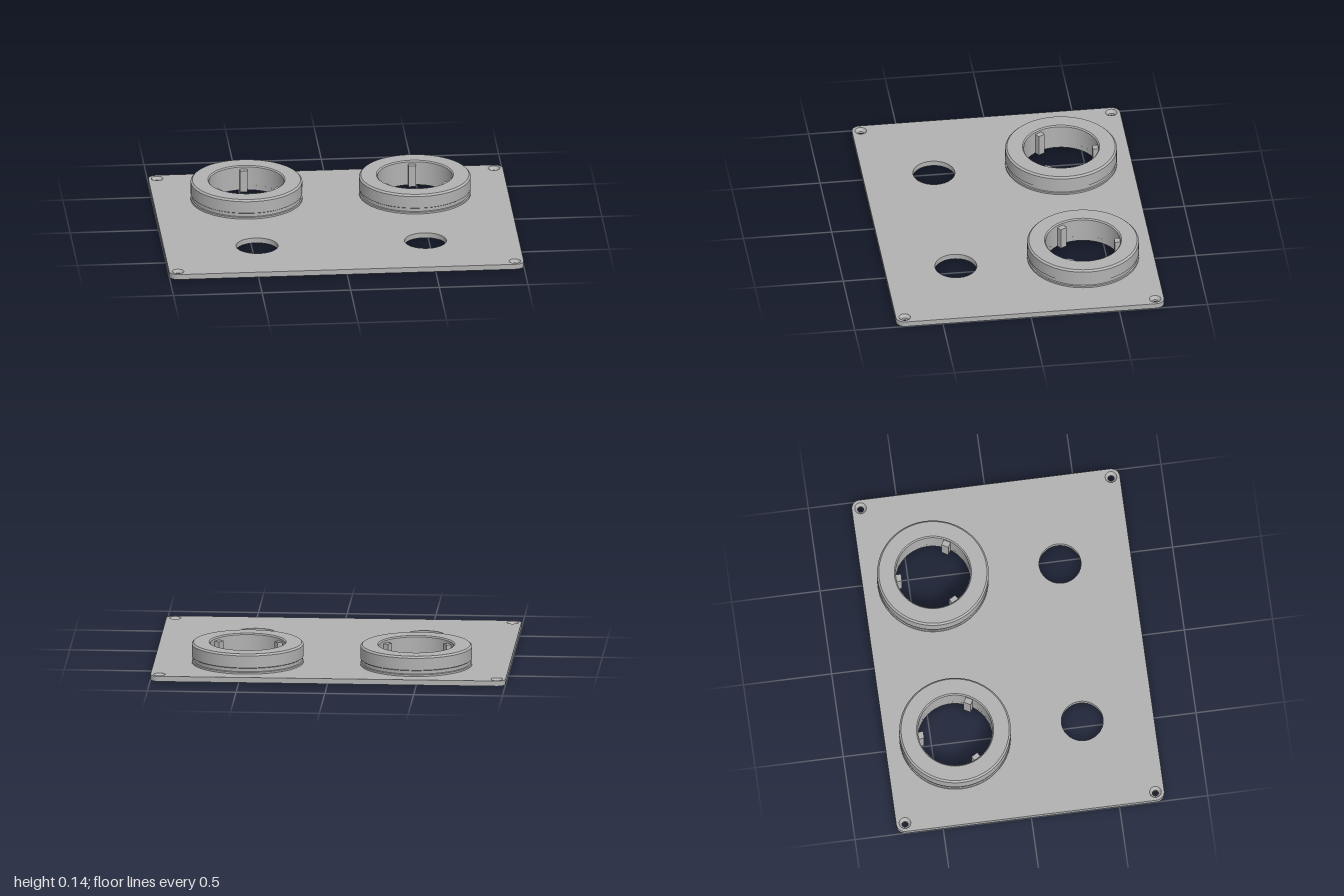
import * as THREE from 'three';
import { toCreasedNormals } from 'three/addons/utils/BufferGeometryUtils.js';

const T = 0.03;               // plate thickness
const W = 1, D = 0.76, R = 0.05; // plate half sizes and corner radius
const SOCKET_X = 0.475, SOCKET_Z = -0.363, BORE = 0.21;
const SCREW_X = 0.95, SCREW_Z = 0.71, SINK = 0.033;

const circle = (x, z, r) => new THREE.Path().absarc(x, -z, r, 0, Math.PI * 2, true);

const lathe = (points, segments) => toCreasedNormals(
  new THREE.LatheGeometry(points.map(([r, y]) => new THREE.Vector2(r, y)), segments), 0.5);

export function createModel() {
  const model = new THREE.Group();
  const grey = new THREE.MeshStandardMaterial({ color: 0xb2b2b2 });
  grey.name = 'grey';

  const add = (parent, name, geometry, x = 0, y = 0, z = 0) => {
    const mesh = new THREE.Mesh(geometry, grey);
    mesh.name = name;
    mesh.position.set(x, y, z);
    parent.add(mesh);
    return mesh;
  };

  // Rounded base plate with socket, round and screw holes
  const outline = new THREE.Shape();
  outline.absarc(W - R, D - R, R, 0, Math.PI / 2);
  outline.absarc(-W + R, D - R, R, Math.PI / 2, Math.PI);
  outline.absarc(-W + R, -D + R, R, Math.PI, Math.PI * 1.5);
  outline.absarc(W - R, -D + R, R, Math.PI * 1.5, Math.PI * 2);
  for (const s of [-1, 1]) {
    outline.holes.push(circle(s * SOCKET_X, SOCKET_Z, BORE));
    outline.holes.push(circle(s * SOCKET_X, 0.358, 0.118));
    for (const t of [-1, 1]) outline.holes.push(circle(s * SCREW_X, t * SCREW_Z, SINK));
  }
  const plate = new THREE.ExtrudeGeometry(outline, { depth: T, bevelEnabled: false, curveSegments: 32 });
  plate.rotateX(-Math.PI / 2);
  add(model, 'basePlate', toCreasedNormals(plate, 0.5));

  // Countersunk linings of the screw holes
  const sink = lathe([[SINK, T], [0.017, 0.013], [0.017, 0], [SINK, 0]], 32);

  // Collar: foot flange, groove, wall, chamfered rim, bore
  const collar = lathe([
    [0.314, T], [0.314, 0.04], [0.308, 0.043], [0.308, 0.062], [0.314, 0.066],
    [0.314, 0.135], [0.304, 0.145], [BORE + 0.007, 0.145], [BORE, 0.138], [BORE, T],
  ], 96);
  const keyHeight = 0.125;
  const key = new THREE.BoxGeometry(0.042, keyHeight, 0.04);
  key.translate(0, keyHeight / 2, -BORE + 0.012);

  for (const s of [-1, 1]) {
    const side = s > 0 ? 'left' : 'right';
    const socket = new THREE.Group();
    socket.name = side + 'Socket';
    socket.position.set(s * SOCKET_X, 0, SOCKET_Z);
    add(socket, 'collar', collar);
    // Three locating keys inside the bore
    for (let i = 0; i < 3; i++) {
      add(socket, 'locatingKey', key).rotation.y = i * Math.PI * 2 / 3;
    }
    model.add(socket);
    for (const t of [-1, 1]) {
      add(model, side + (t > 0 ? 'Front' : 'Back') + 'ScrewHole', sink, s * SCREW_X, 0, t * SCREW_Z);
    }
  }
  return model;
}
